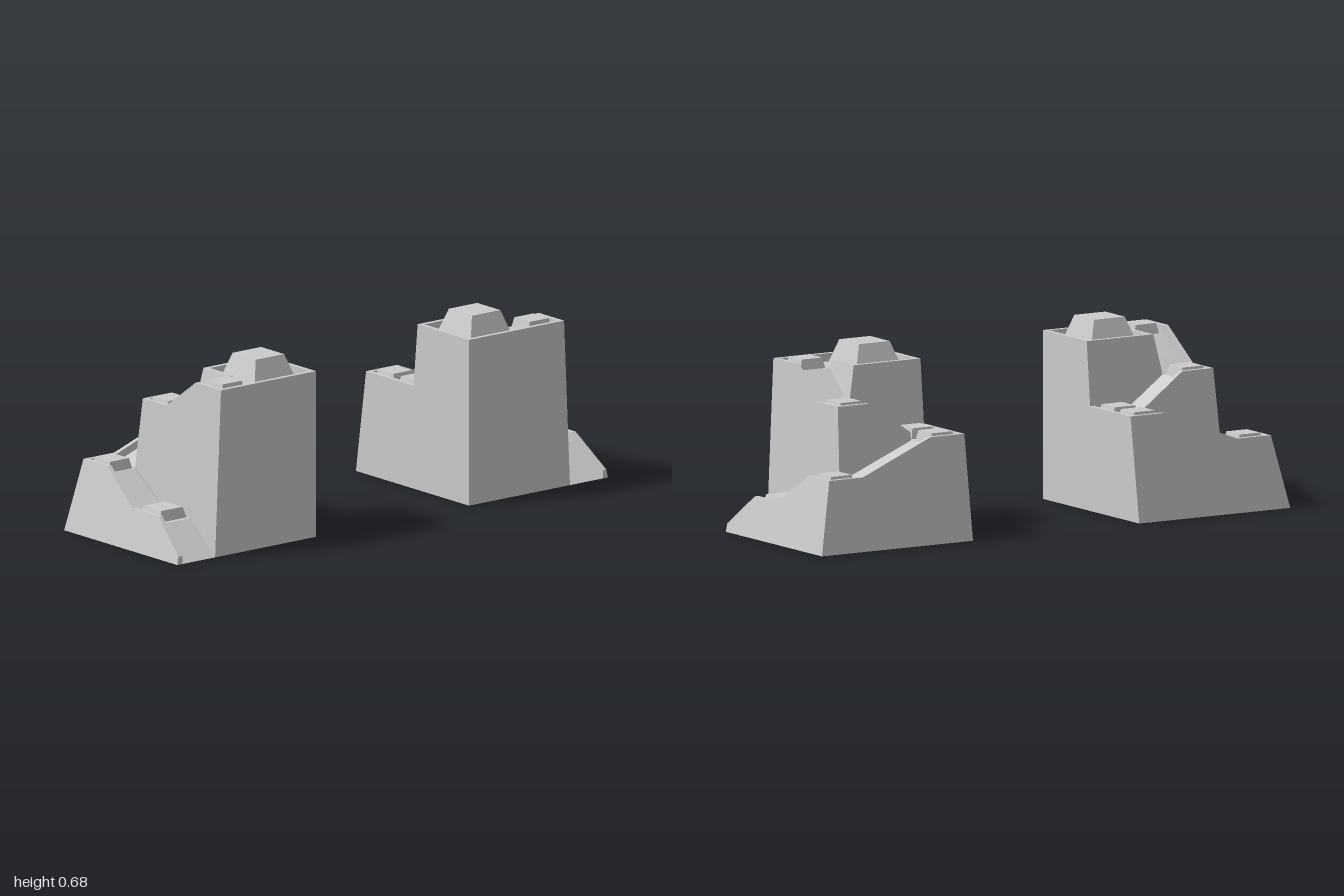
import * as THREE from 'three';

const material = new THREE.MeshStandardMaterial({ color: 0xcccccc, flatShading: true, side: THREE.DoubleSide });

// Path rim heights, curb width, curb depth, straight outer sides
const [Y1, Y2, Y3, Y4, Y5, Y6] = [0.03, 0.147, 0.265, 0.383, 0.5, 0.617];
const CURB = 0.017, DEPTH = 0.03, RIGHT = 0.323, BACK = 0.355;

// Leaning walls: position as a function of height
const frontZ = y => 1 - 0.215 * y;             // outer front
const leftX = y => -0.323 + 0.152 * y;         // outer left
const innerZ = y => 0.824 - 0.044 * y;         // front of the upper tier
const innerX = y => -0.175 + 0.115 * y;        // left of the upper tier
const topX = y => -0.032 + 0.1 * y;            // left of the top block
const topZ = y => 0.64 + 0.2 * (Y6 - y);       // front of the top block

function addMesh(group, name, geometry) {
  const mesh = new THREE.Mesh(geometry, material);
  mesh.name = name;
  group.add(mesh);
  return mesh;
}

// Wall: flat outline in (u, height), placed in space by a rule
function addWall(group, name, outline, place) {
  const geometry = new THREE.ShapeGeometry(new THREE.Shape(outline.map(p => new THREE.Vector2(...p))));
  const pos = geometry.attributes.position;
  for (let i = 0; i < pos.count; i++) pos.setXYZ(i, ...place(pos.getX(i), pos.getY(i)));
  const flat = geometry.toNonIndexed();
  flat.computeVertexNormals();
  addMesh(group, name, flat);
}

// Path: each station is [height, rim xz, curb inset xz, wall foot xz]
function addPath(group, name, stations) {
  const rows = stations.map(([y, [x, z], [dx, dz], [wx, wz]]) => [
    [x, y, z], [x + dx, y, z + dz], [x + dx, y - DEPTH, z + dz], [wx, y - DEPTH, wz],
  ]);
  const verts = [];
  for (let i = 0; i < rows.length - 1; i++) {
    for (let j = 0; j < 3; j++) {
      const a = rows[i][j], b = rows[i + 1][j], c = rows[i + 1][j + 1], d = rows[i][j + 1];
      verts.push(...a, ...b, ...c, ...a, ...c, ...d);
    }
  }
  const geometry = new THREE.BufferGeometry();
  geometry.setAttribute('position', new THREE.Float32BufferAttribute(verts, 3));
  geometry.computeVertexNormals();
  addMesh(group, name, geometry);
}

// Square block with tapered sides, standing on the recessed floor
function addPad(group, name, x, rimY, z, base, top, height) {
  const geometry = new THREE.CylinderGeometry(top * Math.SQRT2, base * Math.SQRT2, height, 4, 1);
  geometry.rotateY(Math.PI / 4);
  addMesh(group, name, geometry).position.set(x, rimY - DEPTH + height / 2, z);
}

function createTower() {
  const tower = new THREE.Group();

  // Outer walls
  addWall(tower, 'frontWall', [
    [leftX(0), 0], [RIGHT, 0], [RIGHT, Y1], [0.178, Y2], [0.03, Y2], [-0.145, Y3], [leftX(Y3), Y3],
  ], (u, y) => [u, y, frontZ(y)]);
  addWall(tower, 'leftWall', [
    [1, 0], [frontZ(Y3), Y3], [0.8, Y3], [0.5, Y4], [BACK, Y4], [BACK, 0],
  ], (u, y) => [leftX(y), y, u]);
  addWall(tower, 'backWall', [
    [leftX(0), 0], [leftX(Y4), Y4], [topX(Y4), Y4], [topX(Y6), Y6], [RIGHT, Y6], [RIGHT, 0],
  ], (u, y) => [u, y, BACK]);
  addWall(tower, 'rightWall', [
    [BACK, 0], [BACK, Y6], [innerZ(Y6), Y6], [innerZ(0), 0],
  ], (u, y) => [RIGHT, y, u]);
  addWall(tower, 'curbEnd', [
    [1, 0], [frontZ(Y1), Y1], [frontZ(Y1) - CURB, Y1], [frontZ(Y1) - CURB, 0],
  ], (u, y) => [RIGHT, y, u]);

  // Upper tier and top block walls
  addWall(tower, 'upperFrontWall', [
    [RIGHT, 0], [0.178, Y2 - DEPTH], [0.03, Y2 - DEPTH], [-0.145, Y3 - DEPTH], [innerX(Y3 - DEPTH), Y3 - DEPTH],
    [innerX(Y5), Y5], [0.018, Y5], [0.178, Y6], [RIGHT, Y6],
  ], (u, y) => [u, y, innerZ(y)]);
  addWall(tower, 'upperLeftWall', [
    [innerZ(Y3 - DEPTH), Y3 - DEPTH], [0.8, Y3 - DEPTH], [0.5, Y4 - DEPTH], [0.5, Y4],
    [0.67, Y5], [innerZ(Y5), Y5],
  ], (u, y) => [innerX(y), y, u]);
  addWall(tower, 'topBlockLeftWall', [
    [BACK, Y4 - DEPTH], [0.5, Y4 - DEPTH], [topZ(Y5 - DEPTH), Y5 - DEPTH], [topZ(Y6), Y6], [BACK, Y6],
  ], (u, y) => [topX(y), y, u]);
  addWall(tower, 'topBlockFrontWall', [
    [topX(Y5 - DEPTH), Y5 - DEPTH], [0.018, Y5 - DEPTH], [0.178, Y6 - DEPTH], [0.178, Y6], [topX(Y6), Y6],
  ], (u, y) => [u, y, topZ(y)]);

  // Lower path: along the front, up the left side, onto the back landing
  const z = y => innerZ(y - DEPTH), x = y => innerX(y - DEPTH), c = CURB;
  const corner = [x(Y3), z(Y3)], landing = [x(Y4), 0.5];
  addPath(tower, 'lowerPath', [
    [Y1, [RIGHT, frontZ(Y1)], [0, -c], [RIGHT, z(Y1)]],
    [Y2, [0.178, frontZ(Y2)], [0, -c], [0.178, z(Y2)]],
    [Y2, [0.03, frontZ(Y2)], [0, -c], [0.03, z(Y2)]],
    [Y3, [-0.145, frontZ(Y3)], [0, -c], corner],
    [Y3, [leftX(Y3), frontZ(Y3)], [c, -c], corner],
    [Y3, [leftX(Y3), 0.8], [c, 0], [x(Y3), 0.8]],
    [Y4, [leftX(Y4), 0.5], [c, 0], landing],
    [Y4, [leftX(Y4), BACK], [c, c], landing],
    [Y4, [topX(Y4), BACK], [0, c], landing],
    [Y4, [topX(Y4), BACK], [0, c], [topX(Y4 - DEPTH), 0.5]],
  ]);

  // Upper path: ramp to the front landing, ramp to the top, round the roof
  const foot = [topX(Y5 - DEPTH), topZ(Y5 - DEPTH)], roof = [0.178, topZ(Y6) - c];
  addPath(tower, 'upperPath', [
    [Y4, [innerX(Y4), 0.5], [c, 0], [topX(Y4 - DEPTH), 0.5]],
    [Y5, [innerX(Y5), 0.67], [c, 0], foot],
    [Y5, [innerX(Y5), innerZ(Y5)], [c, -c], foot],
    [Y5, [0.018, innerZ(Y5)], [0, -c], foot],
    [Y6, [0.178, innerZ(Y6)], [0, -c], [0.178, topZ(Y6 - DEPTH)]],
    [Y6, [0.178, innerZ(Y6)], [0, -c], roof],
    [Y6, [RIGHT, innerZ(Y6)], [-c, -c], roof],
    [Y6, [RIGHT, BACK], [-c, c], roof],
    [Y6, [topX(Y6), BACK], [c, c], roof],
    [Y6, [topX(Y6), topZ(Y6)], [c, -c], roof],
    [Y6, [0.178, topZ(Y6)], [0, -c], roof],
  ]);

  // Landing pads and the large roof block
  addPad(tower, 'frontPad', 0.102, Y2, 0.886, 0.06, 0.05, 0.039);
  [[-0.208, Y3, 0.872], [-0.192, Y4, 0.432], [-0.062, Y4, 0.432], [-0.048, Y5, 0.73], [0.24, Y6, 0.713]]
    .forEach(([px, py, pz]) => addPad(tower, 'landingPad', px, py, pz, 0.052, 0.044, 0.038));
  addPad(tower, 'roofBlock', 0.174, Y6, 0.502, 0.096, 0.066, 0.09);
  return tower;
}

export function createModel() {
  const model = new THREE.Group();
  const frontTower = createTower();
  frontTower.name = 'frontTower';
  const backTower = createTower();
  backTower.name = 'backTower';
  backTower.scale.z = -1;
  model.add(frontTower, backTower);
  return model;
}
